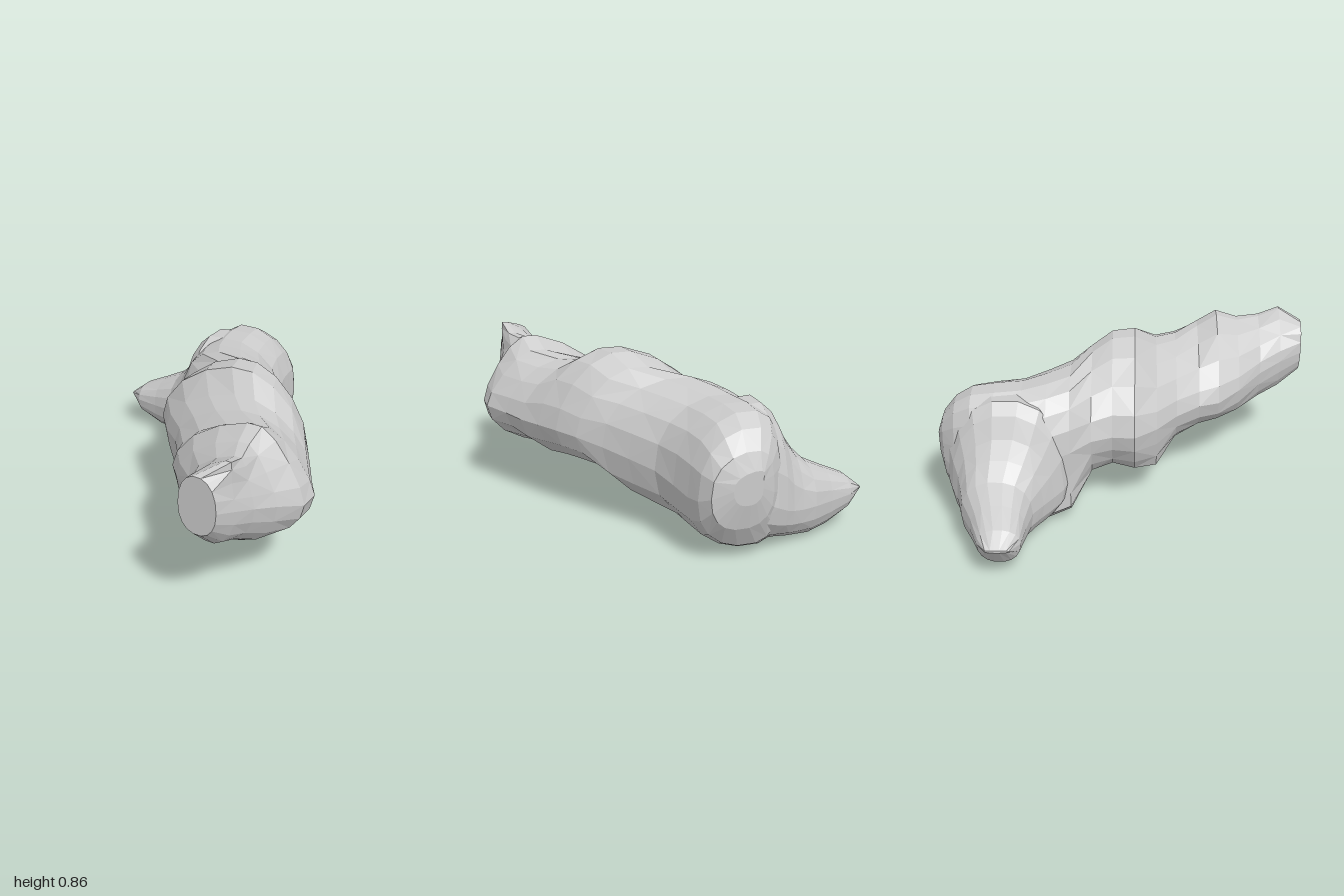
import * as THREE from 'three';

const SIDES = 18;
const material = new THREE.MeshStandardMaterial({ color: 0xcccccc, flatShading: true });

// Joins oval sections; row: [z, xMin, xMax, yMin, yMax, sideways shift of the underside, height of widest point]
// power(z, upper) sets how square (below 1) or pointed (above 1) a section half is; lean(z) shifts its top sideways
function loft(rows, power, lean) {
  const positions = [], index = [];
  for (const [z, x0, x1, y0, y1, shift, yMid] of rows) {
    for (let i = 0; i < SIDES; i++) {
      const a = (i / SIDES) * Math.PI * 2;
      const upper = i < SIDES / 2;
      const soft = (v) => Math.sign(v) * Math.pow(Math.abs(v), power(z, upper));
      const c = soft(Math.cos(a)), s = soft(Math.sin(a));
      const slide = Math.abs(s * s * s) * (upper ? lean(z) : shift);
      positions.push((x0 + x1) / 2 + ((x1 - x0) / 2) * c + slide, yMid + s * (upper ? y1 - yMid : yMid - y0), z);
    }
  }
  const last = rows.length - 1;
  for (let r = 0; r < last; r++) {
    for (let i = 0; i < SIDES; i++) {
      const j = (i + 1) % SIDES;
      const a = r * SIDES + i, b = r * SIDES + j, c = a + SIDES, d = b + SIDES;
      // alternating diagonals give an irregular faceted skin
      if ((r + i) % 2) index.push(a, c, b, b, c, d);
      else index.push(a, c, d, a, d, b);
    }
  }
  // flat caps on both ends
  for (let i = 1; i < SIDES - 1; i++) {
    index.push(0, i, i + 1);
    index.push(last * SIDES, last * SIDES + i + 1, last * SIDES + i);
  }
  const geometry = new THREE.BufferGeometry();
  geometry.setAttribute('position', new THREE.Float32BufferAttribute(positions, 3));
  geometry.setIndex(index);
  geometry.computeVertexNormals();
  return geometry;
}

// Trunk: peaked crest on the head, rounder middle, full squarish rump
function bodyPower(z, upper) {
  if (z > 0.95) return 0.9;
  if (z > 0.3) return upper ? 1.3 : 1;
  if (z > -0.25) return upper ? 1.15 : 1.05;
  return z > -0.6 ? 0.92 : 0.85;
}

function bodyLean(z) {
  if (z > 0.95) return 0;
  if (z > 0.3) return 0.1;
  return z > -0.25 ? 0.05 : -0.05;
}

export function createModel() {
  const group = new THREE.Group();

  // Lumpy trunk running diagonally from the blunt front to the rounded back
  const body = new THREE.Mesh(loft([
    [1.00, 0.48, 0.68, 0.50, 0.80, 0, 0.64],
    [0.88, 0.44, 0.71, 0.39, 0.85, 0, 0.60],
    [0.76, 0.37, 0.74, 0.34, 0.81, 0, 0.56],
    [0.63, 0.23, 0.79, 0.27, 0.81, 0.05, 0.52],
    [0.51, 0.13, 0.87, 0.26, 0.85, 0.05, 0.49],
    [0.40, 0.09, 0.87, 0.25, 0.79, 0, 0.49],
    [0.27, -0.01, 0.79, 0.24, 0.765, -0.08, 0.48],
    [0.16, -0.14, 0.73, 0.16, 0.78, -0.22, 0.47],
    [0.04, -0.24, 0.66, 0.18, 0.87, -0.18, 0.47],
    [-0.08, -0.23, 0.59, 0.20, 0.87, -0.12, 0.47],
    [-0.19, -0.26, 0.51, 0.19, 0.81, -0.15, 0.46],
    [-0.30, -0.33, 0.40, 0.05, 0.765, -0.24, 0.43],
    [-0.42, -0.37, 0.30, 0.02, 0.75, -0.22, 0.40],
    [-0.55, -0.38, 0.20, 0.01, 0.735, -0.16, 0.37],
    [-0.69, -0.38, 0.15, 0.01, 0.735, -0.12, 0.34],
    [-0.81, -0.37, 0.12, 0.02, 0.725, -0.08, 0.32],
    [-0.90, -0.33, 0.10, 0.07, 0.67, -0.04, 0.33],
    [-0.97, -0.26, 0.06, 0.19, 0.58, 0, 0.36],
    [-1.00, -0.19, -0.04, 0.32, 0.49, 0, 0.40],
  ], bodyPower, bodyLean), material);
  body.name = 'body';
  group.add(body);

  // Low pointed spur sweeping off sideways from the back; lofted along x
  const spur = new THREE.Mesh(loft([
    [0.88, -0.69, -0.57, 0.19, 0.205, 0, 0.20],
    [0.80, -0.74, -0.52, 0.08, 0.27, 0, 0.19],
    [0.67, -0.79, -0.505, 0.02, 0.33, 0, 0.19],
    [0.55, -0.85, -0.48, 0.00, 0.39, 0, 0.20],
    [0.47, -0.87, -0.43, 0.00, 0.47, 0, 0.20],
    [0.41, -0.89, -0.38, 0.00, 0.56, 0, 0.21],
    [0.36, -0.92, -0.33, 0.01, 0.67, 0, 0.23],
    [0.30, -0.945, -0.30, 0.01, 0.725, 0, 0.26],
    [0.18, -0.975, -0.32, 0.02, 0.725, 0, 0.32],
    [0.05, -0.95, -0.42, 0.08, 0.66, 0, 0.36],
  ], () => 0.9, () => 0), material);
  spur.rotation.y = -Math.PI / 2;
  spur.name = 'spur';
  group.add(spur);

  return group;
}
